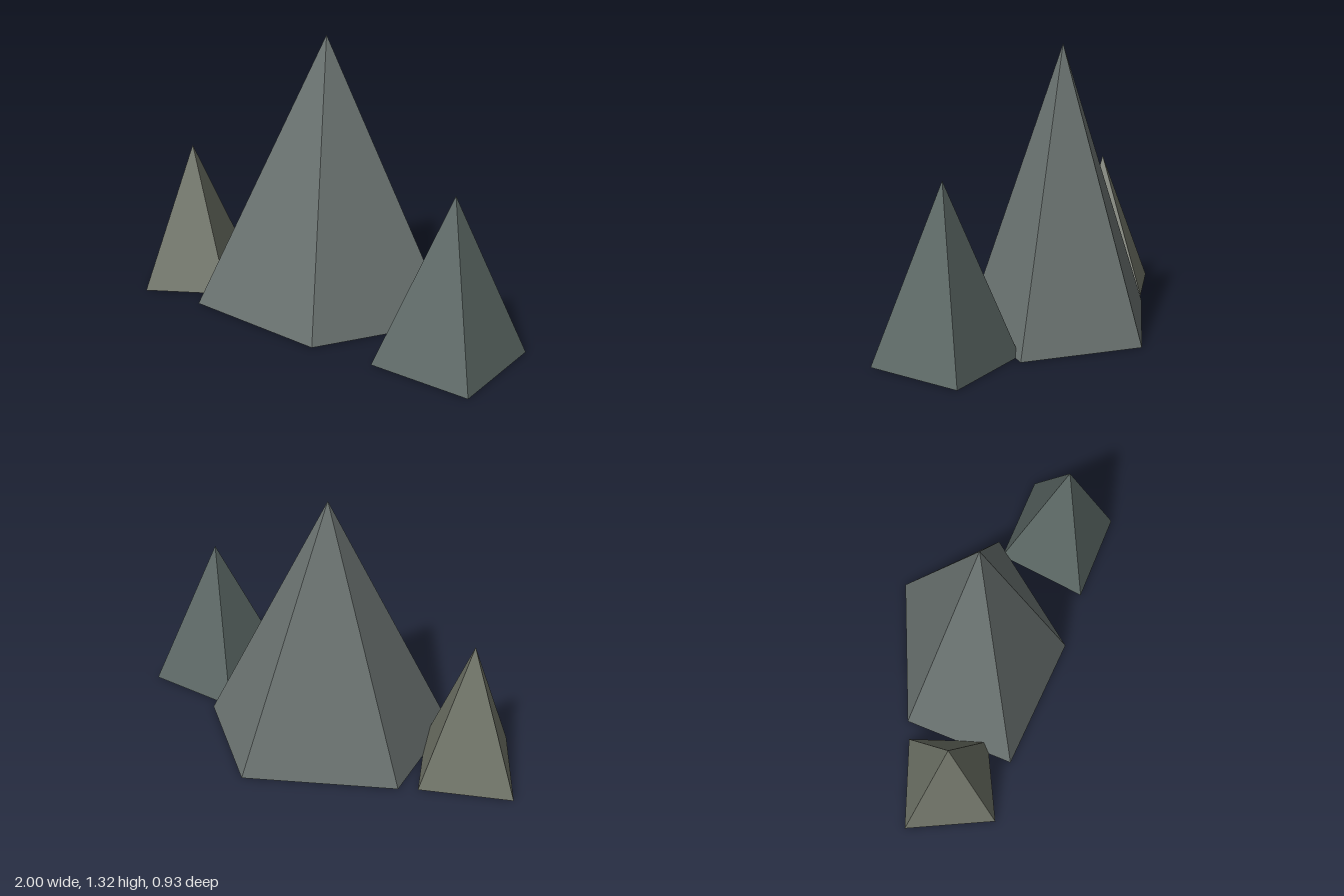
import * as THREE from 'three';

// Closed pyramid: apex [x, y, z] over base corners [x, z], listed clockwise from above
function makePeak(name, color, apex, corners) {
  const positions = [];
  const ground = corners.map(([x, z]) => [x, 0, z]);
  ground.forEach((a, i) => {
    const b = ground[(i + 1) % ground.length];
    positions.push(...b, ...a, ...apex); // sloping side
    positions.push(...a, ...b, apex[0], 0, apex[2]); // underside
  });
  const geometry = new THREE.BufferGeometry();
  geometry.setAttribute('position', new THREE.Float32BufferAttribute(positions, 3));
  geometry.computeVertexNormals();
  const material = new THREE.MeshStandardMaterial({ color, flatShading: true });
  const mesh = new THREE.Mesh(geometry, material);
  mesh.name = name;
  return mesh;
}

export function createModel() {
  const group = new THREE.Group();
  group.name = 'mountainRange';

  // Tall five-sided mountain in the middle
  group.add(makePeak('mainPeak', 0x69716f, [-0.005, 1.315, 0.03],
    [[0.17, -0.468], [0.6, -0.107], [0.195, 0.442], [-0.49, 0.418], [-0.503, -0.145]]));

  // Smaller four-sided mountains on each side
  group.add(makePeak('rightPeak', 0x6f7367, [-0.69, 0.7, 0.18],
    [[-0.585, -0.1], [-0.437, 0.27], [-0.79, 0.463], [-1, 0.067]]));
  group.add(makePeak('leftPeak', 0x5c6865, [0.742, 0.777, 0.178],
    [[0.53, -0.058], [1, -0.063], [0.958, 0.407], [0.488, 0.412]]));

  return group;
}
